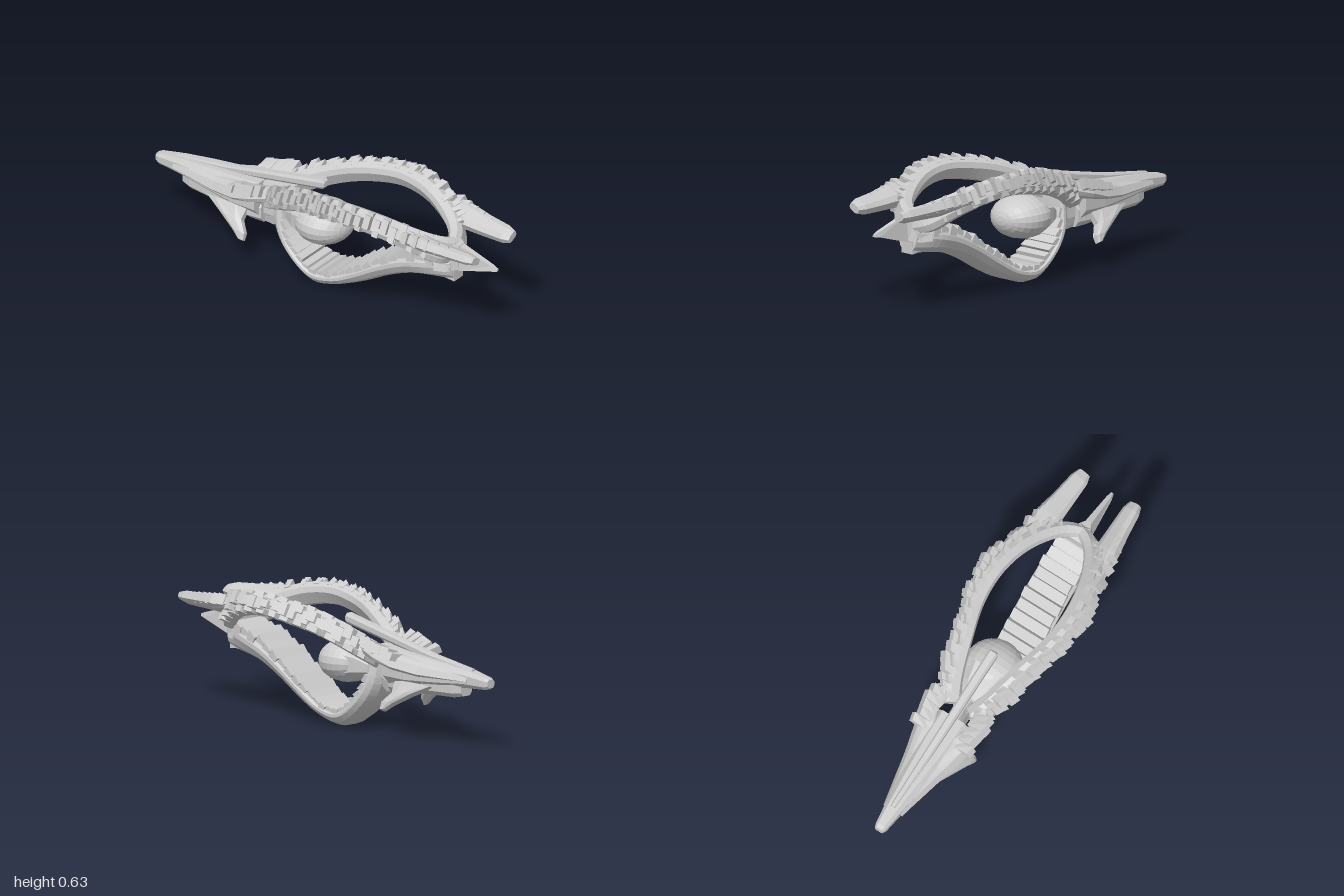
import * as THREE from 'three';

const V = (x, y, z) => new THREE.Vector3(x, y, z);
const material = new THREE.MeshStandardMaterial({ color: 0xcccccc, flatShading: true, side: THREE.DoubleSide });
const BOX = [[-1, 0], [1, 0], [1, 1], [-1, 1]];
const BEVEL = [[-0.6, 0], [0.6, 0], [1, 0.25], [1, 0.75], [0.6, 1], [-0.6, 1], [-1, 0.75], [-1, 0.25]];
const WEDGE = [[-1, 0], [1, 0], [0.6, 1], [-0.6, 1]];

// Small seeded generator for the irregular armour plates
function seeded(seed) {
  return () => (seed = (seed * 16807) % 2147483647) / 2147483647;
}

// Skin a profile [side, inner-to-outer] over stations [inner, outer, halfWidth]
function loft(name, stations, side, profile) {
  const rings = stations.map(([a, b, w]) =>
    profile.map(([s, k]) => a.clone().lerp(b, k).addScaledVector(side, s * w)));
  const tris = [];
  const n = profile.length;
  for (let i = 0; i < rings.length - 1; i++) {
    for (let j = 0; j < n; j++) {
      const k = (j + 1) % n;
      const [a, b, c, d] = [rings[i][j], rings[i][k], rings[i + 1][k], rings[i + 1][j]];
      tris.push([a, b, c], [a, c, d]);
    }
  }
  const last = rings[rings.length - 1];
  for (let j = 1; j < n - 1; j++) {
    tris.push([rings[0][0], rings[0][j + 1], rings[0][j]], [last[0], last[j], last[j + 1]]);
  }
  // Turn the faces outward using the signed volume
  const o = rings[0][0];
  const volume = tris.reduce((sum, [a, b, c]) =>
    sum + a.clone().sub(o).dot(b.clone().sub(o).cross(c.clone().sub(o))), 0);
  if (volume < 0) tris.forEach(t => t.reverse());
  const geometry = new THREE.BufferGeometry().setFromPoints(tris.flat());
  geometry.computeVertexNormals();
  const mesh = new THREE.Mesh(geometry, material);
  mesh.name = name;
  return mesh;
}

// Smooth a pair of rails into closely spaced stations
function smoothStations(inner, outer, widths, count) {
  const a = new THREE.CatmullRomCurve3(inner);
  const b = new THREE.CatmullRomCurve3(outer);
  const w = new THREE.CatmullRomCurve3(widths.map((v, i) => V(i, v, 0)));
  const at = t => [a.getPoint(t), b.getPoint(t), w.getPoint(t).y];
  return { at, list: Array.from({ length: count + 1 }, (_, i) => at(i / count)) };
}

// Straight hull along x: rows of [x, bottom, top, halfWidth]
function hull(name, rows, profile = BEVEL) {
  return loft(name, rows.map(([x, lo, hi, w]) => [V(x, lo, 0), V(x, hi, 0), w]), V(0, 0, 1), profile);
}

// Upper arm, its plates, tail fin, cheek wing and lower fin on one side
function sideParts(s) {
  const g = new THREE.Group();
  g.name = s > 0 ? 'frontSide' : 'backSide';
  const P = (x, y, z) => V(x, y, z * s);
  const across = P(0, 0.88, -0.47);
  const radial = P(0, 0.47, 0.88);
  const rnd = seeded(77);

  const arm = smoothStations(
    [P(-0.27, 0.35, 0.03), P(-0.18, 0.405, 0.08), P(0, 0.485, 0.14), P(0.15, 0.52, 0.18), P(0.3, 0.54, 0.19),
      P(0.45, 0.525, 0.17), P(0.58, 0.48, 0.125), P(0.67, 0.435, 0.07), P(0.72, 0.415, 0)],
    [P(-0.32, 0.39, 0.10), P(-0.2, 0.45, 0.145), P(0, 0.525, 0.2), P(0.15, 0.56, 0.245), P(0.3, 0.577, 0.26),
      P(0.48, 0.56, 0.235), P(0.64, 0.51, 0.17), P(0.74, 0.455, 0.09), P(0.78, 0.425, 0)],
    [0.05, 0.055, 0.055, 0.052, 0.05, 0.052, 0.056, 0.065, 0.06], 30);
  g.add(loft('upperArm', arm.list, across, BEVEL));

  // Jagged blocks along the outside of the arm
  const plates = new THREE.Group();
  plates.name = 'armPlates';
  for (let i = 0; i < 27; i++) {
    const t = 0.02 + 0.8 * i / 26;
    const [a0, b0, w] = arm.at(t);
    const [a1, b1] = arm.at(t + 0.024);
    const out = P(0.15, 0.42, 0.86);
    const h = 0.02 + 0.03 * rnd();
    const width = w * (0.35 + 0.35 * rnd());
    const shift = (rnd() - 0.35) * 0.035;
    const plate = (from, to, lift) => [
      from.clone().lerp(to, 0.55).addScaledVector(across, shift),
      to.clone().addScaledVector(out, lift).addScaledVector(across, shift), width];
    plates.add(loft('armPlate', [plate(a0, b0, h * 0.75), plate(a1, b1, h)], across, BOX));
    // Upper and lower rows of smaller scales
    const edge = i % 2 ? -0.8 : 0.75;
    const scale = (from, to, lift) => [
      from.clone().lerp(to, 0.5).addScaledVector(across, w * edge),
      to.clone().addScaledVector(out, lift).addScaledVector(across, w * edge), 0.014];
    plates.add(loft('armScale', [scale(a0, b0, 0), scale(a1, b1, h * 0.45)], across, BOX));
  }
  // Blocks continuing forward over the cheek
  for (let i = 0; i < 5; i++) {
    const lo = P(-0.48 + i * 0.04, 0.39 + i * 0.006, 0.09);
    const hi = P(-0.48 + i * 0.04, 0.405 + i * 0.01, 0.15 + 0.02 * rnd());
    const w = 0.016 + 0.012 * rnd();
    plates.add(loft('cheekPlate', [[lo, hi, w], [lo.clone().add(V(0.035, 0, 0)), hi.clone().add(P(0.04, 0.01, 0.008)), w]],
      across, BOX));
  }
  g.add(plates);

  // Trailing fin at the rear end of the arm
  const fin = [[0.54, 0.53, 0.205, 0.03, 0.025], [0.71, 0.51, 0.165, 0.06, 0.035], [0.82, 0.505, 0.155, 0.05, 0.03],
    [0.94, 0.503, 0.147, 0.042, 0.027], [0.98, 0.503, 0.145, 0.03, 0.018]];
  g.add(loft('tailFin', fin.map(([x, y, z, r, w]) =>
    [P(x, y, z).addScaledVector(radial, -r), P(x, y, z).addScaledVector(radial, r), w]), across, BEVEL));
  for (let i = 0; i < 5; i++) {
    const c = P(0.6 + i * 0.05, 0.533 - i * 0.005, 0.205 - i * 0.01);
    const h = 0.04 - i * 0.004;
    g.add(loft('finPlate', [[c.clone(), c.clone().addScaledVector(radial, h * 0.7), 0.026],
      [c.clone().add(V(0.035, 0, 0)), c.clone().add(V(0.04, 0, 0)).addScaledVector(radial, h), 0.028]], across, BOX));
  }

  // Blade running from the nose into the arm
  g.add(loft('cheekWing', [
    [P(-0.88, 0.335, 0.03), P(-0.88, 0.335, 0.047), 0.02],
    [P(-0.6, 0.355, 0.04), P(-0.6, 0.35, 0.105), 0.035],
    [P(-0.46, 0.37, 0.05), P(-0.46, 0.375, 0.14), 0.04],
    [P(-0.36, 0.385, 0.095), P(-0.35, 0.41, 0.155), 0.038],
    [P(-0.26, 0.40, 0.07), P(-0.26, 0.435, 0.135), 0.04]], across, BEVEL));

  // Splayed fin below the hull
  g.add(loft('lowerFin', [
    [P(-0.66, 0.27, 0.065), P(-0.42, 0.27, 0.065), 0.025],
    [P(-0.56, 0.225, 0.098), P(-0.43, 0.215, 0.098), 0.025],
    [P(-0.46, 0.17, 0.128), P(-0.39, 0.17, 0.128), 0.022],
    [P(-0.42, 0.14, 0.142), P(-0.39, 0.137, 0.142), 0.016]], P(0, 0.5, 0.87), BEVEL));
  return g;
}

export function createModel() {
  const model = new THREE.Group();
  model.name = 'ship';
  const zAxis = V(0, 0, 1);

  // Forward hull, neck, chin and long dorsal spar
  model.add(hull('hull', [[-1, 0.305, 0.345, 0.022], [-0.98, 0.295, 0.352, 0.03], [-0.85, 0.29, 0.375, 0.047],
    [-0.7, 0.27, 0.392, 0.07], [-0.5, 0.25, 0.41, 0.095], [-0.36, 0.25, 0.425, 0.1]]));
  model.add(hull('chin', [[-0.83, 0.245, 0.31, 0.035], [-0.78, 0.235, 0.32, 0.05], [-0.6, 0.23, 0.32, 0.07],
    [-0.42, 0.21, 0.32, 0.075], [-0.35, 0.205, 0.32, 0.06]]));
  model.add(hull('neck', [[-0.4, 0.21, 0.42, 0.045], [-0.3, 0.2, 0.42, 0.035], [-0.24, 0.25, 0.42, 0.04]]));
  model.add(hull('dorsalSpar', [[-0.88, 0.34, 0.38, 0.014], [-0.6, 0.38, 0.42, 0.02],
    [-0.02, 0.49, 0.54, 0.025], [-0.01, 0.5, 0.53, 0.018]]));

  // Keel sweeping under the opening
  const keel = smoothStations(
    [V(-0.23, 0.39, 0), V(-0.21, 0.25, 0), V(-0.145, 0.15, 0), V(-0.04, 0.08, 0), V(0.08, 0.09, 0), V(0.2, 0.155, 0),
      V(0.34, 0.245, 0), V(0.48, 0.325, 0), V(0.62, 0.375, 0), V(0.76, 0.4, 0)],
    [V(-0.29, 0.36, 0), V(-0.275, 0.23, 0), V(-0.2, 0.115, 0), V(-0.03, 0.003, 0), V(0.12, 0.035, 0), V(0.25, 0.095, 0),
      V(0.4, 0.18, 0), V(0.53, 0.235, 0), V(0.65, 0.262, 0), V(0.77, 0.275, 0)],
    [0.06, 0.085, 0.1, 0.105, 0.105, 0.105, 0.105, 0.105, 0.1, 0.06], 36);
  model.add(loft('keel', keel.list, zAxis,
    [[-0.85, 0], [0.85, 0], [1, 0.2], [1, 0.4], [0.8, 0.75], [0.35, 1], [-0.35, 1], [-0.8, 0.75], [-1, 0.4], [-1, 0.2]]));

  // Stepped plates lining the keel
  const rnd = seeded(41);
  const steps = new THREE.Group();
  steps.name = 'keelPlates';
  for (let i = 0; i < 22; i++) {
    const t = 0.05 + 0.85 * i / 21;
    const [a0, b0, w] = keel.at(t);
    const [a1, b1] = keel.at(t + 0.036);
    const h = 0.2 + 0.14 * rnd();
    const width = w * (0.88 + 0.1 * rnd());
    steps.add(loft('keelPlate', [[a0.clone().lerp(b0, 0.3), a0.clone().lerp(b0, -0.4 * h), width],
      [a1.clone().lerp(b1, 0.3), a1.clone().lerp(b1, -h), width]], zAxis, BOX));
  }
  model.add(steps);

  // Rear junction, block and spike
  model.add(hull('rearJunction', [[0.69, 0.33, 0.45, 0.095], [0.75, 0.33, 0.47, 0.07], [0.79, 0.34, 0.465, 0.03]], WEDGE));
  model.add(hull('rearBlock', [[0.64, 0.28, 0.36, 0.035], [0.77, 0.27, 0.34, 0.035]], BOX));
  model.add(hull('rearSpike', [[0.72, 0.33, 0.47, 0.033], [0.8, 0.335, 0.46, 0.026],
    [0.97, 0.385, 0.412, 0.016], [1, 0.39, 0.402, 0.008]], WEDGE));

  // Core ball with the tapered housing that holds it
  const core = new THREE.Mesh(new THREE.SphereGeometry(1, 20, 14).rotateZ(Math.PI / 2), material);
  core.name = 'core';
  core.scale.set(0.145, 0.105, 0.147);
  core.position.set(-0.018, 0.313, 0);
  model.add(core);
  model.add(hull('coreHousing', [[-0.21, 0.265, 0.33, 0.05], [-0.15, 0.245, 0.38, 0.09], [-0.06, 0.222, 0.407, 0.12]]));

  for (const s of [1, -1]) model.add(sideParts(s));
  return model;
}
